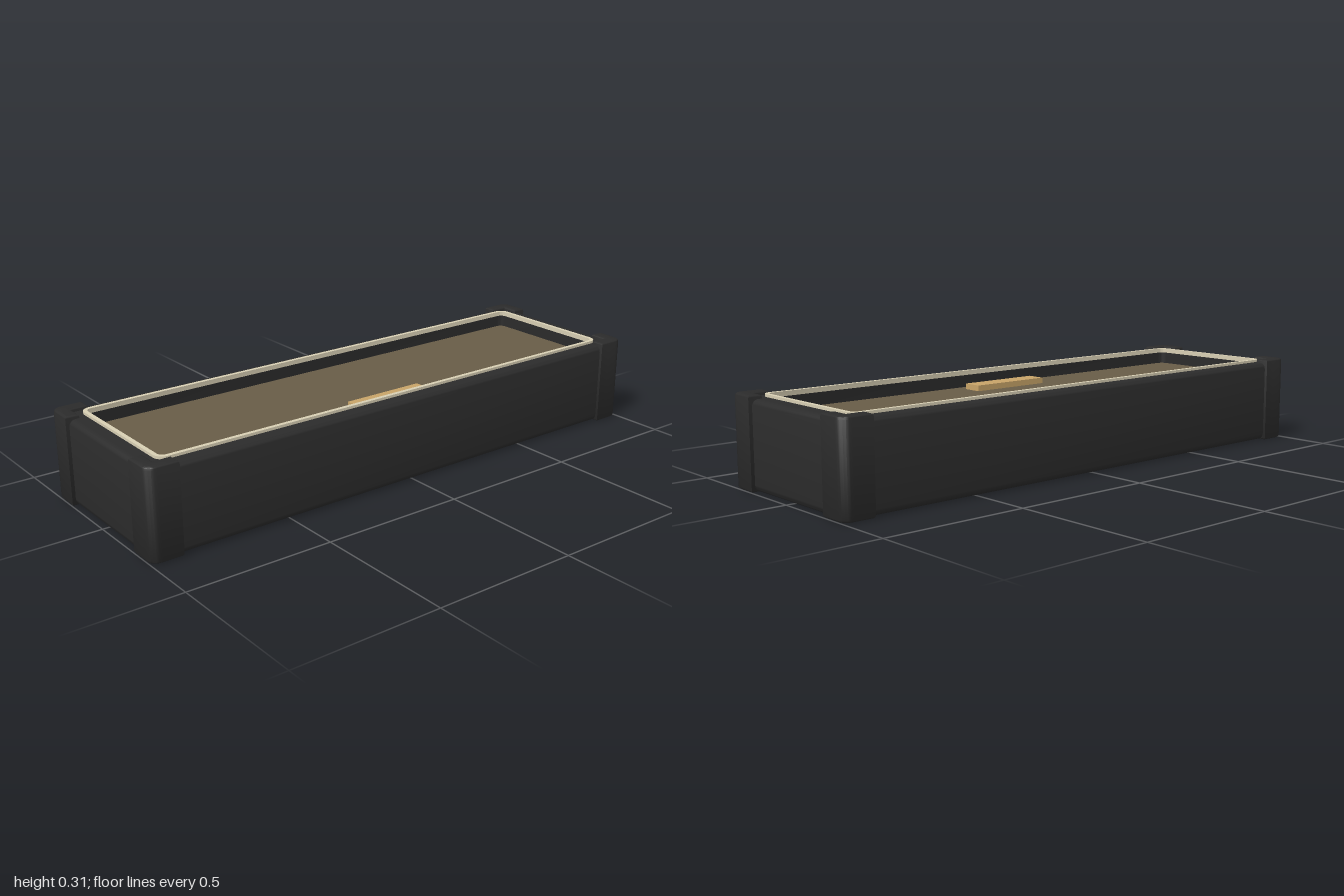
import * as THREE from 'three';
import { toCreasedNormals } from 'three/addons/utils/BufferGeometryUtils.js';

const mat = (name, color) => {
  const m = new THREE.MeshStandardMaterial({ color });
  m.name = name;
  return m;
};

// Rounded rectangle loop in the xz plane
function loop(hx, hz, r, y, steps = 6) {
  const pts = [];
  [[1, 1], [-1, 1], [-1, -1], [1, -1]].forEach(([sx, sz], q) => {
    for (let i = 0; i <= steps; i++) {
      const a = (q + i / steps) * Math.PI / 2;
      pts.push([sx * (hx - r) + r * Math.cos(a), y, sz * (hz - r) + r * Math.sin(a)]);
    }
  });
  return pts;
}

// Skin between rounded rectangles; each profile entry is [halfX, halfZ, radius, y]
function loft(profile) {
  const loops = profile.map(p => loop(...p));
  const n = loops[0].length, index = [];
  for (let k = 0; k < loops.length - 1; k++) {
    for (let i = 0; i < n; i++) {
      const j = (i + 1) % n, a = k * n, b = a + n;
      index.push(a + i, b + i, a + j, a + j, b + i, b + j);
    }
  }
  const geo = new THREE.BufferGeometry();
  geo.setAttribute('position', new THREE.Float32BufferAttribute(loops.flat(2), 3));
  geo.setIndex(index);
  return toCreasedNormals(geo, 0.7);
}

export function createModel() {
  const group = new THREE.Group();
  const black = mat('charcoal', 0x2b2b2b);
  const felt = mat('olive brown lining', 0x685c47);
  const cream = mat('cream trim', 0xd8cfb4);
  const tan = mat('tan wood', 0xc8a468);
  const add = (name, geo, material, x = 0, y = 0, z = 0) => {
    const mesh = new THREE.Mesh(geo, material);
    mesh.name = name;
    mesh.position.set(x, y, z);
    group.add(mesh);
    return mesh;
  };

  // Hollow tray with softly rounded outer edges
  const HX = 0.988, HZ = 0.302, R = 0.022, TOP = 0.293;
  const profile = [[0.001, 0.001, 0.0005, 0.002]];
  for (let i = 0; i <= 5; i++) {
    const a = i / 5 * Math.PI / 2, d = R * (1 - Math.sin(a));
    profile.push([HX - d, HZ - d, 0.045 - d, 0.002 + R * (1 - Math.cos(a))]);
  }
  for (let i = 0; i <= 5; i++) {
    const a = i / 5 * Math.PI / 2, d = R * (1 - Math.cos(a));
    profile.push([HX - d, HZ - d, 0.045 - d, TOP - R * (1 - Math.sin(a))]);
  }
  profile.push([0.918, 0.244, 0.024, TOP], [0.918, 0.244, 0.024, 0.235], [0.001, 0.001, 0.0005, 0.235]);
  add('trayBody', loft(profile), black);

  // Recessed lining
  add('liningFloor', loft([
    [0.917, 0.243, 0.023, 0.236], [0.917, 0.243, 0.023, 0.243], [0.001, 0.001, 0.0005, 0.243],
  ]), felt);

  // Raised trim around the opening
  add('rimTrim', loft([
    [0.914, 0.24, 0.02, 0.286], [0.928, 0.254, 0.034, 0.286], [0.928, 0.254, 0.034, 0.302],
    [0.914, 0.24, 0.02, 0.302], [0.914, 0.24, 0.02, 0.286],
  ]), cream);

  // Small bar lying on the lining
  add('bar', new THREE.BoxGeometry(0.3, 0.02, 0.068), tan, 0, 0.253, 0.165);

  // L-shaped corner guards, bevelled all round
  const B = 0.01, arm = 0.108 - 2 * B, t = 0.048 - 2 * B, r = 0.026;
  const s = new THREE.Shape();
  s.moveTo(0, 0);
  s.lineTo(0, -arm + r);
  s.lineTo(0, -arm);
  s.lineTo(-t, -arm);
  s.lineTo(-t, -t);
  s.lineTo(-arm, -t);
  s.lineTo(-arm, 0);
  s.lineTo(-r, 0);
  s.quadraticCurveTo(0, 0, 0, -r);
  // Outline restarted at the rounded outer corner
  s.curves.splice(0, 1);
  const guard = new THREE.ExtrudeGeometry(s, {
    depth: 0.306 - 2 * B, bevelSize: B, bevelThickness: B, bevelSegments: 4, curveSegments: 6,
  });
  guard.rotateX(-Math.PI / 2);
  const guardGeo = toCreasedNormals(guard, 0.7);
  [[1, -1, 0], [-1, -1, 1], [-1, 1, 2], [1, 1, 3]].forEach(([sx, sz, q]) => {
    const m = add('cornerGuard', guardGeo, black, sx * (1 - B), B, sz * (0.312 - B));
    m.rotation.y = q * Math.PI / 2;
  });
  return group;
}
